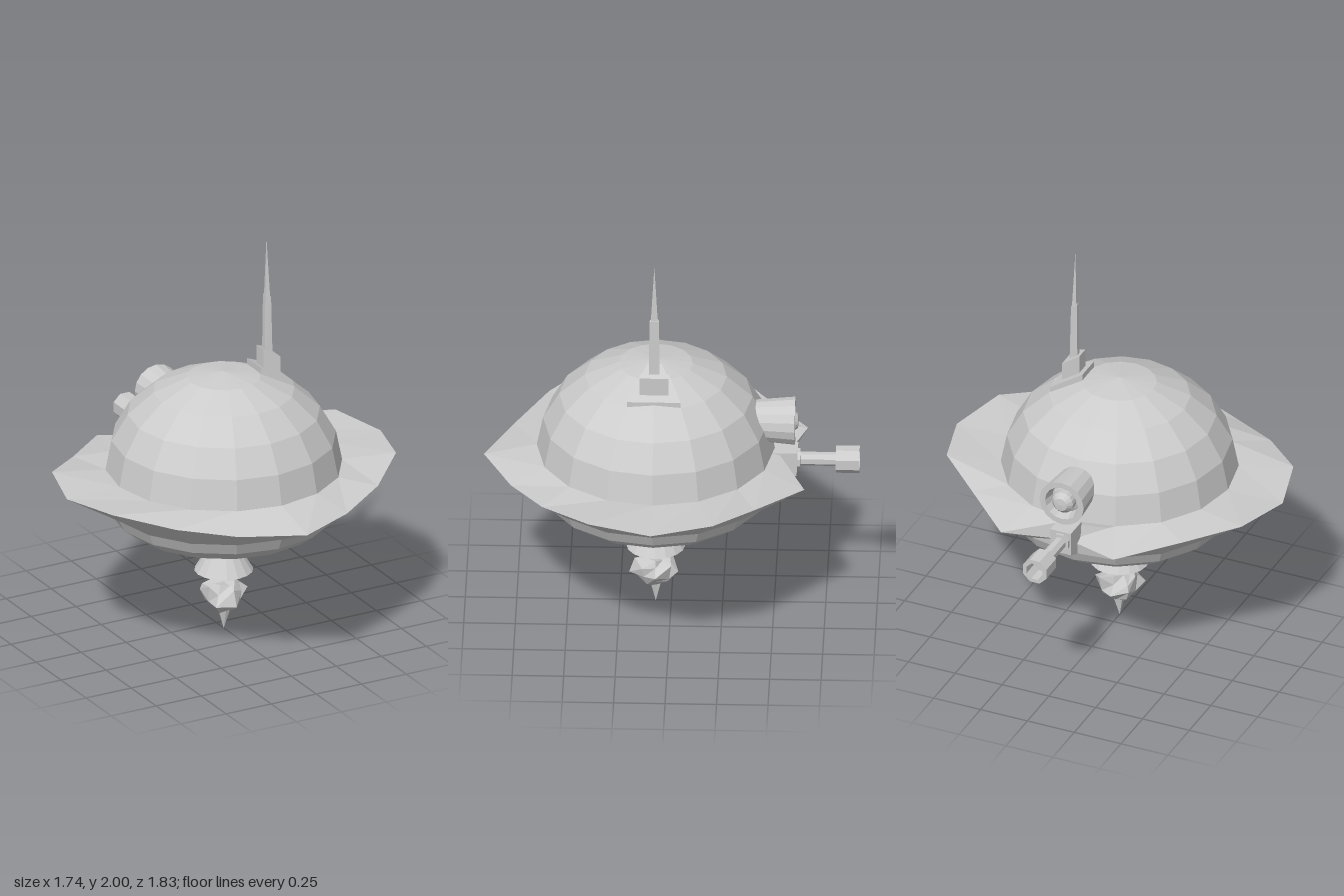
import * as THREE from 'three';

const material = new THREE.MeshStandardMaterial({ color: 0xcccccc, flatShading: true, side: THREE.DoubleSide });

function add(parent, name, geometry, x = 0, y = 0, z = 0) {
  const mesh = new THREE.Mesh(geometry, material);
  mesh.name = name;
  mesh.position.set(x, y, z);
  parent.add(mesh);
  return mesh;
}

// Turned part; profile points are [radius, height]
const turned = (profile, sides = 16, start = 0) =>
  new THREE.LatheGeometry(profile.map(([r, y]) => new THREE.Vector2(r, y)), sides, start);

// Skin over rings of [x, y, z] points, listed bottom to top, each counterclockwise from above
function loft(rings, capped = true) {
  const out = [];
  const n = rings[0].length;
  for (let i = 0; i < rings.length - 1; i++) {
    for (let j = 0; j < n; j++) {
      const k = (j + 1) % n;
      const [a, b, c, d] = [rings[i][j], rings[i][k], rings[i + 1][k], rings[i + 1][j]];
      out.push(...a, ...b, ...c, ...a, ...c, ...d);
    }
  }
  if (capped) {
    const low = rings[0], high = rings[rings.length - 1];
    for (let j = 1; j < n - 1; j++) {
      out.push(...low[0], ...low[j + 1], ...low[j]);
      out.push(...high[0], ...high[j], ...high[j + 1]);
    }
  }
  const geometry = new THREE.BufferGeometry();
  geometry.setAttribute('position', new THREE.Float32BufferAttribute(out, 3));
  geometry.computeVertexNormals();
  return geometry;
}

const circle = (n, fn) => Array.from({ length: n }, (_, j) => {
  const a = (j / n) * Math.PI * 2;
  const [r, y] = fn(j);
  return [r * Math.sin(a), y, r * Math.cos(a)];
});

// Trapezoid ring: inner edge at x0 (half width h0, height y0), outer edge at x1
const trapezoid = (x0, h0, y0, x1, h1, y1) =>
  [[x0, y0, h0], [x1, y1, h1], [x1, y1, -h1], [x0, y0, -h0]];

export function createModel() {
  const model = new THREE.Group();
  model.name = 'saucer';
  const craft = new THREE.Group();
  craft.name = 'craft';
  craft.position.z = 0.075;
  model.add(craft);

  // Faceted hull: belly and dome
  add(craft, 'hull', turned([
    [0, 0.485], [0.18, 0.493], [0.34, 0.52], [0.47, 0.565], [0.55, 0.625], [0.58, 0.687],
    [0.578, 0.865], [0.548, 1.015], [0.47, 1.15], [0.345, 1.26], [0.18, 1.333], [0, 1.357],
  ]));

  // Wavy brim, pulled in to a notch at the back; half listed from front to back
  const half = [
    [0, 0.805, 0.835], [0.3, 0.805, 0.695], [0.56, 0.837, 0.535], [0.787, 0.876, 0.305],
    [0.87, 0.862, 0], [0.787, 0.876, -0.3], [0.56, 0.837, -0.495], [0.3, 0.805, -0.73],
    [0, 0.76, -0.59],
  ];
  const rim = [...half, ...half.slice(1, 8).reverse().map(([x, y, z]) => [-x, y, z])];
  add(craft, 'brim', loft([
    circle(16, () => [0.583, 0.687]), rim, circle(16, () => [0.576, 0.865]),
  ], false));

  // Thruster collar and nozzle
  add(craft, 'thrusterCollar', turned([[0, 0.445], [0.178, 0.445], [0.178, 0.495], [0, 0.495]]));
  add(craft, 'thrusterNozzle', turned([[0, 0.312], [0.144, 0.312], [0.062, 0.446], [0, 0.446]]));

  // Jagged exhaust flame with a spike below
  const jag = (base, wave, y, rise, phase) => circle(8, (j) => {
    const s = Math.sin(j * 2.6 + phase);
    return [base + wave * s, y + rise * Math.cos(j * 2.1 + phase)];
  });
  add(craft, 'flame', loft([
    circle(8, () => [0.001, 0]),
    jag(0.026, 0.008, 0.1, 0.008, 0),
    jag(0.07, 0.025, 0.13, 0.02, 1),
    jag(0.108, 0.027, 0.17, 0.022, 2.2),
    jag(0.092, 0.02, 0.222, 0.015, 0.6),
    jag(0.06, 0.01, 0.252, 0.007, 3),
    circle(8, () => [0.001, 0.245]),
  ]));

  // Antenna on the left of the dome
  const antenna = new THREE.Group();
  antenna.name = 'antenna';
  craft.add(antenna);
  add(antenna, 'antennaPlate', loft([
    trapezoid(0.168, 0.068, 1.325, 0.314, 0.13, 1.256),
    trapezoid(0.168, 0.068, 1.365, 0.314, 0.13, 1.29),
  ]));
  add(antenna, 'antennaBlock', loft([
    trapezoid(0.2, 0.035, 1.33, 0.277, 0.07, 1.29),
    trapezoid(0.2, 0.035, 1.442, 0.277, 0.07, 1.402),
  ]));
  add(antenna, 'antennaMast', loft([
    trapezoid(0.22, 0.014, 1.4, 0.256, 0.027, 1.39),
    trapezoid(0.224, 0.012, 1.716, 0.25, 0.023, 1.708),
  ]));
  add(antenna, 'antennaSpike', loft([
    trapezoid(0.228, 0.009, 1.71, 0.248, 0.017, 1.705),
    trapezoid(0.2365, 0.0005, 2, 0.2375, 0.0005, 2),
  ]));

  // Rear lamp: flared housing with a recessed face and a bulb
  add(model, 'rearLamp', turned([
    [0, 0], [0.1, 0], [0.118, 0.2], [0.088, 0.2], [0.075, 0.14], [0.056, 0.15],
    [0.056, 0.19], [0.034, 0.214], [0, 0.217],
  ]).rotateX(-Math.PI / 2), 0, 1.018, -0.402);

  // Rear gun: wedge mount, thin barrel and hollow muzzle
  const slab = (y, z0, z1, w) => [[-w, y, z0], [w, y, z0], [w, y, z1], [-w, y, z1]];
  add(model, 'gunMount', loft([
    slab(0.67, -0.38, -0.45, 0.055), slab(0.74, -0.38, -0.61, 0.055), slab(0.865, -0.38, -0.615, 0.055),
  ]));
  add(model, 'gunBarrel', turned([
    [0.05, 0], [0.05, 0.027], [0.034, 0.027], [0.034, 0.2], [0.067, 0.2], [0.067, 0.315],
    [0.046, 0.315], [0.046, 0.23], [0, 0.23],
  ], 8, Math.PI / 8).rotateX(-Math.PI / 2), 0, 0.806, -0.6);

  return model;
}
